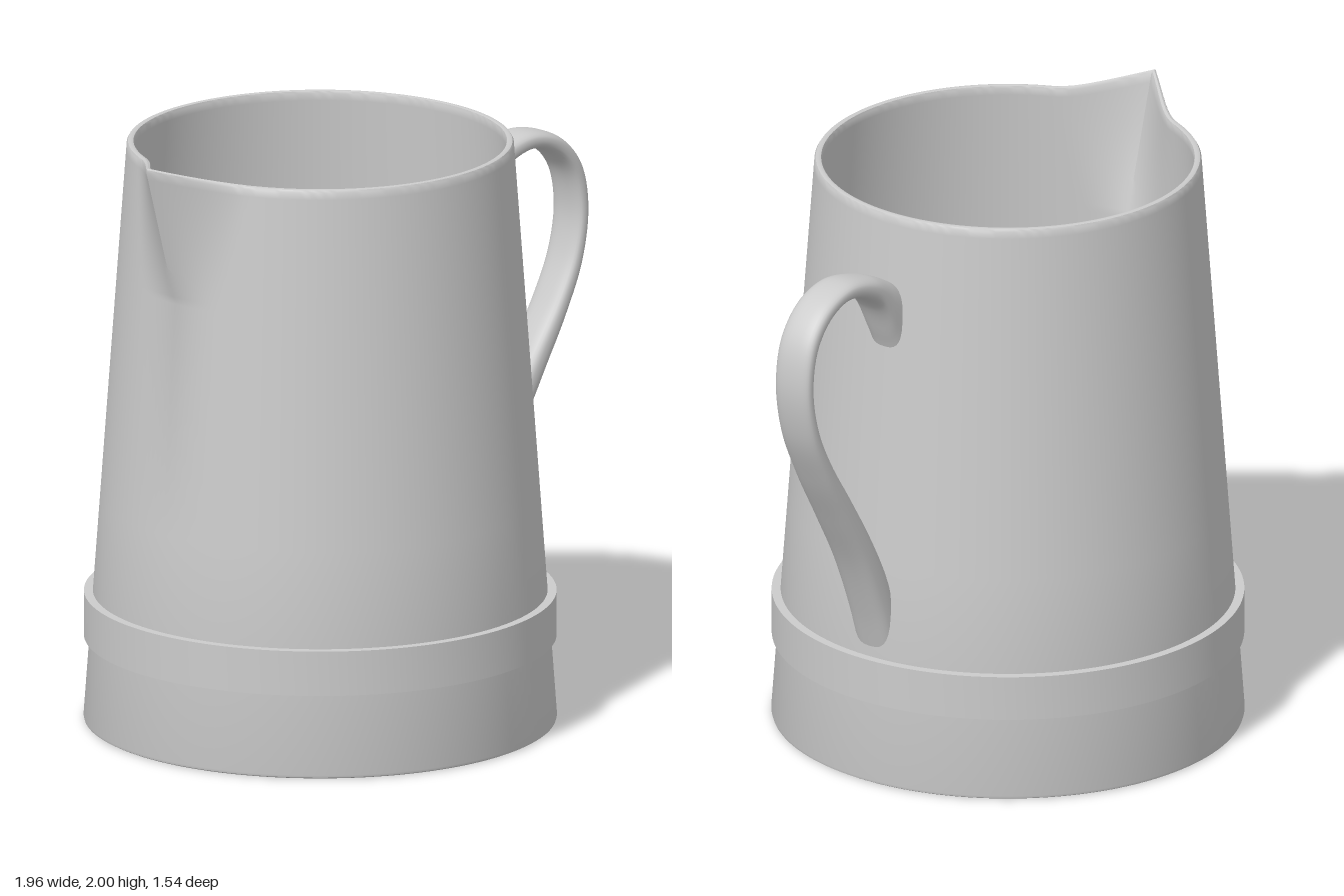
import * as THREE from 'three';
import { mergeVertices, toCreasedNormals } from 'three/addons/utils/BufferGeometryUtils.js';

const material = new THREE.MeshStandardMaterial({ color: 0xcccccc });
const CENTER_X = -0.19, RIM_Y = 1.95, SPOUT_Y = 1.52, WALL = 0.025;

// Outer radius of the tapering wall at height y
const wallRadius = (y) => 0.772 - 0.142 * (y / RIM_Y);

function addMesh(group, geometry, name) {
  const mesh = new THREE.Mesh(geometry, material);
  mesh.name = name;
  group.add(mesh);
  return mesh;
}

function lathe(points, deform) {
  const geometry = new THREE.LatheGeometry(points.map(([r, y]) => new THREE.Vector2(r, y)), 192);
  if (deform) deform(geometry.attributes.position);
  geometry.deleteAttribute('uv');
  geometry.deleteAttribute('normal');
  return toCreasedNormals(mergeVertices(geometry, 1e-5), 0.65);
}

// Pull the upper wall out towards -x into a pointed pouring lip
function pullSpout(position) {
  for (let i = 0; i < position.count; i++) {
    const x = position.getX(i), y = position.getY(i), z = position.getZ(i);
    const r = Math.hypot(x, z);
    if (y <= SPOUT_Y || r < 0.3) continue;
    const s = (y - SPOUT_Y) / (RIM_Y - SPOUT_Y);
    const u = Math.abs(Math.atan2(z, -x)) / (0.27 + 0.15 * s);
    if (u >= 1) continue;
    const t = s * Math.pow(1 - u, 1.8);
    const k = (r + 0.165 * t) / r;
    position.setXYZ(i, x * k, y + 0.05 * t, z * k);
  }
}

// Hollow body: base, outer wall, rounded rim, inner wall, floor
function bodyGeometry() {
  const points = [[0, 0], [0.762, 0], [0.769, 0.004], [wallRadius(0.012), 0.012], [wallRadius(0.75), 0.75]];
  const steps = 18, top = RIM_Y - 0.01;
  const height = (i) => SPOUT_Y + (top - SPOUT_Y) * (i / steps);
  for (let i = 0; i <= steps; i++) points.push([wallRadius(height(i)), height(i)]);
  const mid = wallRadius(RIM_Y) - WALL / 2;
  for (const a of [0.25, 0.5, 0.75]) {
    points.push([mid + Math.cos(a * Math.PI) * WALL / 2, top + Math.sin(a * Math.PI) * 0.01]);
  }
  for (let i = steps; i >= 0; i--) points.push([wallRadius(height(i)) - WALL, height(i)]);
  points.push([wallRadius(0.03) - WALL, 0.03], [0, 0.03]);
  return lathe(points, pullSpout);
}

// Handle lofted between an outer and an inner side curve
function handleGeometry() {
  const curve = (pts) => new THREE.CatmullRomCurve3(pts.map(([x, y]) => new THREE.Vector3(x, y, 0)), false, 'centripetal');
  const outer = curve([[0.445, 1.71], [0.5, 1.745], [0.59, 1.785], [0.73, 1.81], [0.86, 1.77], [0.95, 1.67],
    [0.98, 1.52], [0.95, 1.33], [0.87, 1.15], [0.77, 0.97], [0.67, 0.785], [0.59, 0.59], [0.54, 0.44]]);
  const inner = curve([[0.455, 1.45], [0.49, 1.535], [0.57, 1.68], [0.72, 1.747], [0.82, 1.72], [0.895, 1.64],
    [0.924, 1.51], [0.9, 1.37], [0.83, 1.225], [0.73, 1.075], [0.63, 0.92], [0.555, 0.79], [0.515, 0.7]]);
  const rings = 84, sides = 28, positions = [], index = [];
  const soft = (v) => Math.sign(v) * Math.pow(Math.abs(v), 0.75);
  for (let i = 0; i <= rings; i++) {
    const a = outer.getPoint(i / rings), b = inner.getPoint(i / rings);
    const c = a.clone().add(b).multiplyScalar(0.5), half = a.clone().sub(c);
    const width = 0.067 + 0.008 * (i / rings);
    for (let j = 0; j < sides; j++) {
      const t = (j / sides) * Math.PI * 2;
      const p = c.clone().addScaledVector(half, soft(Math.cos(t)));
      positions.push(p.x, p.y, width * soft(Math.sin(t)));
      if (i === rings) continue;
      const k = i * sides + j, n = i * sides + (j + 1) % sides;
      index.push(k, n, k + sides, n, n + sides, k + sides);
    }
  }
  const geometry = new THREE.BufferGeometry();
  geometry.setAttribute('position', new THREE.Float32BufferAttribute(positions, 3));
  geometry.setIndex(index);
  geometry.computeVertexNormals();
  return geometry;
}

export function createModel() {
  const model = new THREE.Group();
  model.name = 'pitcher';

  addMesh(model, bodyGeometry(), 'body').position.x = CENTER_X;

  // Raised band around the lower wall
  const band = lathe([[0.735, 0.28], [0.77, 0.28], [0.77, 0.43], [0.735, 0.43]]);
  addMesh(model, band, 'band').position.x = CENTER_X;

  addMesh(model, handleGeometry(), 'handle');
  return model;
}
